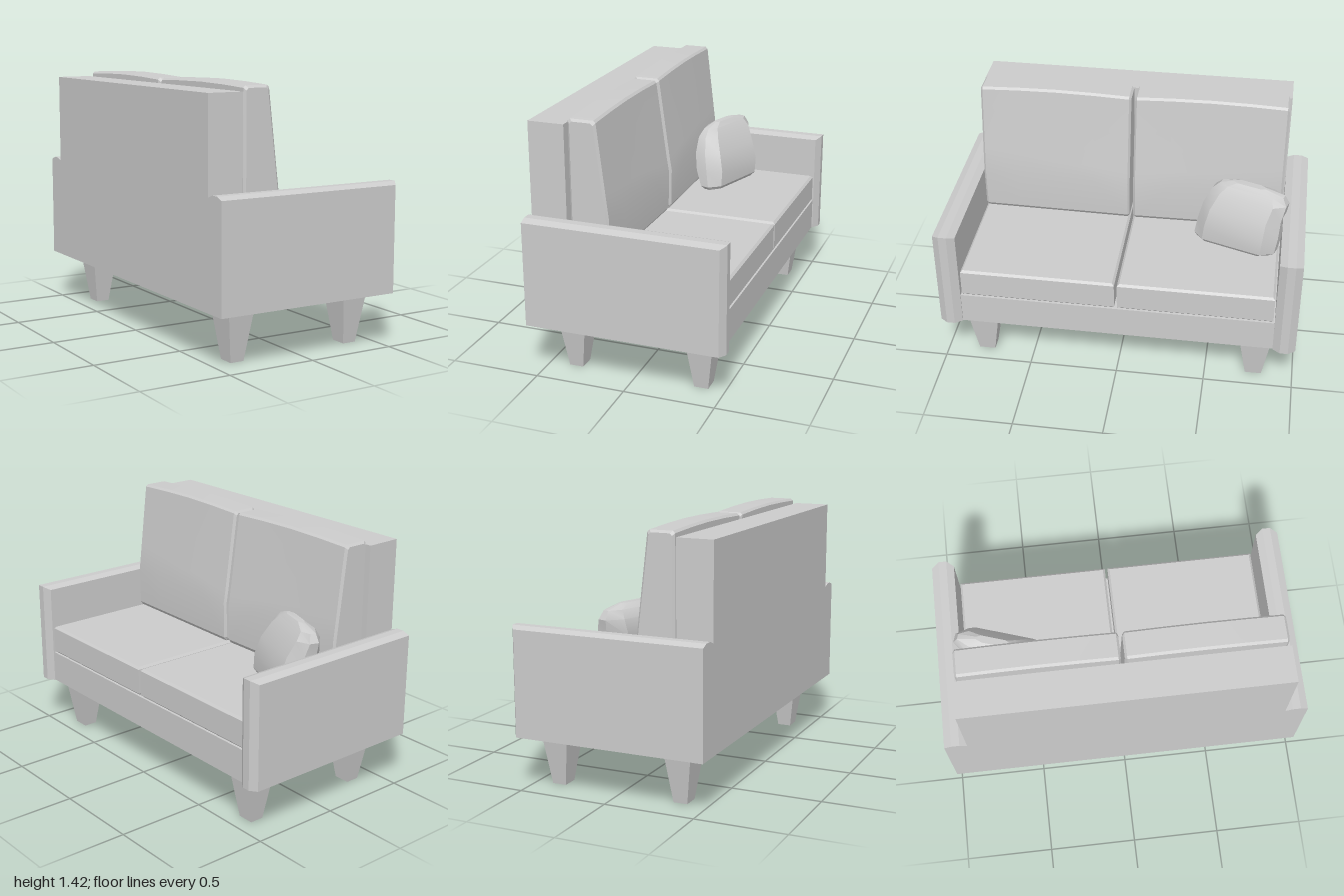
import * as THREE from 'three';
import { toCreasedNormals } from 'three/addons/utils/BufferGeometryUtils.js';

const material = new THREE.MeshStandardMaterial({ color: 0xcccccc });

// Skin a series of convex rings of [x, y, z] points and cap both ends
function loft(rings, crease = 0.1) {
  const n = rings[0].length, index = [];
  const at = (r, i) => r * n + (i % n);
  for (let r = 0; r < rings.length - 1; r++)
    for (let i = 0; i < n; i++)
      index.push(at(r, i), at(r, i + 1), at(r + 1, i + 1), at(r, i), at(r + 1, i + 1), at(r + 1, i));
  const last = rings.length - 1;
  for (let i = 1; i < n - 1; i++)
    index.push(0, i + 1, i, at(last, 0), at(last, i), at(last, i + 1));

  // Turn the faces outward if the signed volume is negative
  const pts = rings.flat().map((p) => new THREE.Vector3(...p));
  let volume = 0;
  for (let i = 0; i < index.length; i += 3)
    volume += pts[index[i]].dot(pts[index[i + 1]].clone().cross(pts[index[i + 2]]));
  if (volume < 0) index.reverse();

  const geometry = new THREE.BufferGeometry().setFromPoints(pts);
  geometry.setIndex(index);
  return toCreasedNormals(geometry.toNonIndexed(), crease);
}

// Horizontal rectangle at height y
const rect = (y, x0, x1, z0, z1) => [[x0, y, z0], [x1, y, z0], [x1, y, z1], [x0, y, z1]];

// Box with chamfered edges
function softBox(x0, x1, y0, y1, z0, z1, b) {
  const inner = [x0 + b, x1 - b, z0 + b, z1 - b], outer = [x0, x1, z0, z1];
  return loft([rect(y0, ...inner), rect(y0 + b, ...outer), rect(y1 - b, ...outer), rect(y1, ...inner)]);
}

// Arm with a chamfered top and front edge
function armGeometry(side) {
  const stations = [[0.875, 0.52, 0.87], [0.915, 0.548, 0.886], [0.96, 0.548, 0.886], [1, 0.52, 0.87]];
  return loft(stations.map(([z, x, y]) =>
    [[-0.55, 0.29], [x, 0.29], [x, y], [-0.55, y]].map(([px, py]) => [px, py, side * z])));
}

// Wedge-shaped back cushion: slanted front with a crease that drops toward the middle
function backCushionGeometry(side) {
  const z0 = 0.01, z1 = 0.865, b = 0.012;
  const stations = [z0, z0 + b, 0.22, 0.44, 0.65, z1 - b, z1];
  return loft(stations.map((z, i) => {
    const t = (z - z0) / (z1 - z0);
    const inset = i === 0 || i === stations.length - 1 ? b : 0;
    const top = 1.408 + 0.012 * Math.sin(Math.PI * t) - inset;
    const front = -0.11 - 0.012 * t - inset;
    return [
      [-0.335 + inset, 0.655], [-0.322, 0.643 + inset], [front - 0.02, 0.643 + inset],
      [front - 0.004, 0.665], [front, 0.88], [front - 0.012 - 0.006 * t, 0.95 + 0.08 * t],
      [-0.183 - inset, top - 0.012], [-0.195 - inset, top], [-0.322 + inset, top],
      [-0.335 + inset, top - 0.012],
    ].map(([x, y]) => [x, y, side * z]);
  }), 0.3);
}

// Throw pillow: stacked eight-sided sections, leaning back and turned inward
function pillowGeometry() {
  // height, near end, far end, back, front
  const levels = [
    [0.637, -0.24, 0.19, -0.03, 0.075], [0.66, -0.26, 0.225, -0.06, 0.09],
    [0.75, -0.25, 0.235, -0.12, 0.09], [0.85, -0.23, 0.235, -0.14, 0.06],
    [0.94, -0.19, 0.25, -0.13, 0.015], [0.985, -0.145, 0.225, -0.105, -0.015],
    [1.01, -0.07, 0.12, -0.075, -0.035],
  ];
  return loft(levels.map(([y, u0, u1, w0, w1]) => {
    const cu = (u0 + u1) / 2, hu = (u1 - u0) / 2, cw = (w0 + w1) / 2, hw = (w1 - w0) / 2;
    return [[1, -0.35], [1, 0.35], [0.72, 1], [-0.72, 1], [-1, 0.35], [-1, -0.35], [-0.6, -1], [0.6, -1]]
      .map(([a, c]) => {
        const u = cu + a * hu, w = cw + c * hw;
        return [0.03 + 0.316 * u + 0.949 * w, y, -0.64 - 0.949 * u + 0.316 * w];
      });
  }), 0.4);
}

export function createModel() {
  const sofa = new THREE.Group();
  sofa.name = 'sofa';
  const add = (name, geometry) => {
    const mesh = new THREE.Mesh(geometry, material);
    mesh.name = name;
    sofa.add(mesh);
  };
  const box = (x0, x1, y0, y1, z0, z1) => loft([rect(y0, x0, x1, z0, z1), rect(y1, x0, x1, z0, z1)]);

  // Frame
  add('base', box(-0.55, 0.515, 0.29, 0.472, -0.875, 0.875));
  add('backrest', box(-0.55, -0.35, 0.472, 1.38, -0.875, 0.875));

  // Mirrored arms, cushions and tapered legs
  for (const side of [1, -1]) {
    const label = side > 0 ? 'left' : 'right';
    add(`${label}Arm`, armGeometry(side));
    const [z0, z1] = side > 0 ? [0.008, 0.867] : [-0.867, -0.008];
    add(`${label}SeatCushion`, softBox(-0.345, 0.513, 0.473, 0.64, z0, z1, 0.012));
    add(`${label}BackCushion`, backCushionGeometry(side));
    for (const x of [-0.348, 0.368]) {
      const z = side * 0.778;
      add(`${label}${x < 0 ? 'Back' : 'Front'}Leg`, loft([
        rect(0, x - 0.039, x + 0.039, z - 0.046, z + 0.046),
        rect(0.29, x - 0.078, x + 0.078, z - 0.092, z + 0.092),
      ]));
    }
  }

  add('throwPillow', pillowGeometry());
  return sofa;
}
